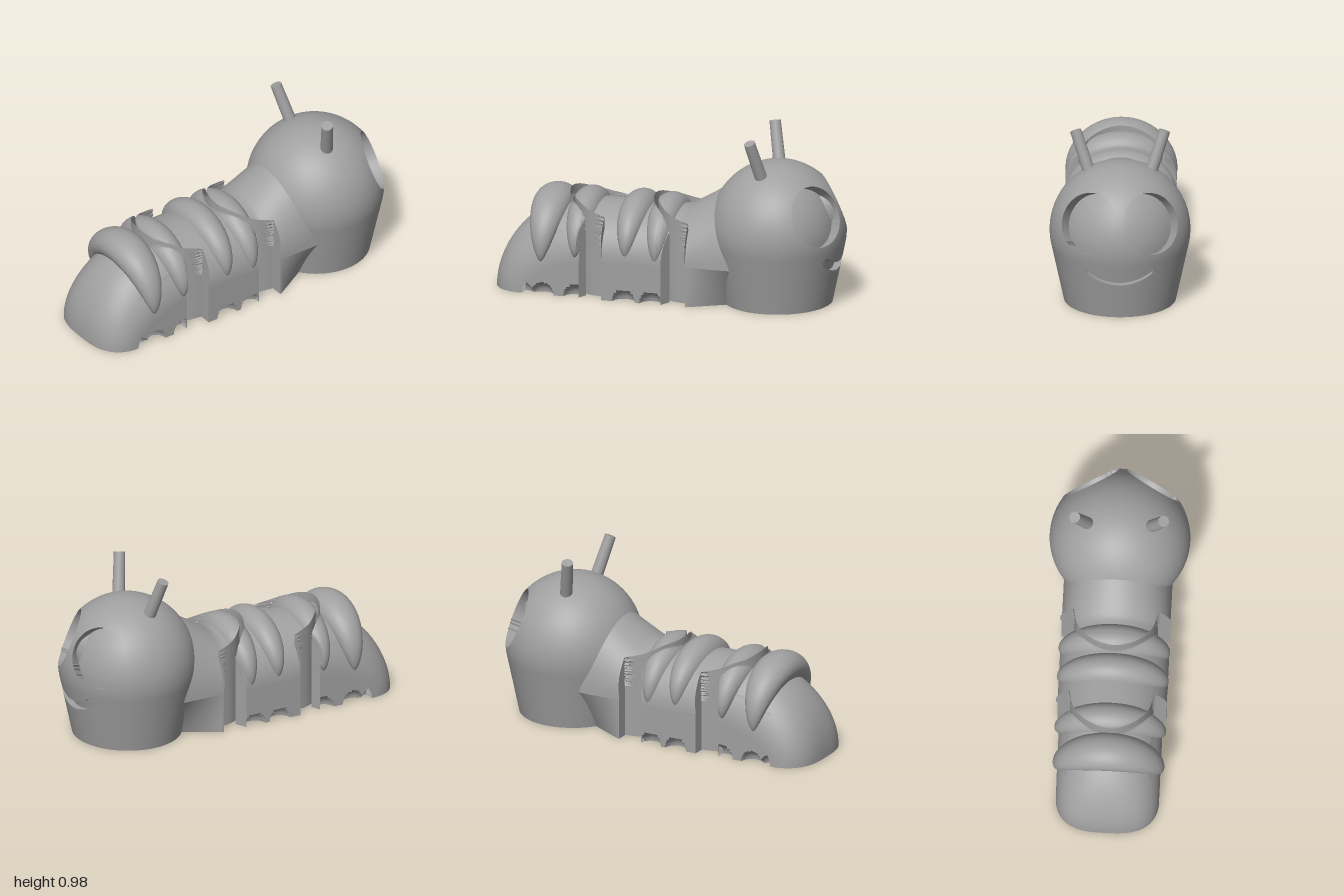
import * as THREE from 'three';
import { toCreasedNormals } from 'three/addons/utils/BufferGeometryUtils.js';

const grey = new THREE.MeshStandardMaterial({ color: 0xa0a0a0, side: THREE.DoubleSide });
grey.name = 'grey';

const KNUCKLE = 0.235, SOCKET = 0.26; // hinge radii
const JOINTS = [-0.33, 0.16];

function add(parent, name, geometry) {
  const mesh = new THREE.Mesh(geometry, grey);
  mesh.name = name;
  parent.add(mesh);
  return mesh;
}

// Surface from a rule f(u index, v index) -> [x, y, z]
function grid(nu, nv, f) {
  const pos = [], index = [];
  for (let i = 0; i <= nu; i++) for (let j = 0; j <= nv; j++) pos.push(...f(i, j));
  for (let i = 0; i < nu; i++) for (let j = 0; j < nv; j++) {
    const a = i * (nv + 1) + j, b = a + nv + 1;
    index.push(a, a + 1, b, b, a + 1, b + 1);
  }
  const g = new THREE.BufferGeometry();
  g.setAttribute('position', new THREE.Float32BufferAttribute(pos, 3));
  g.setIndex(index);
  return toCreasedNormals(g, 0.6);
}

// Hinge outlines in plan: convex knuckle and concave socket
const knuckleX = (c, z, outer) => outer ? c : c - Math.sqrt(Math.max(0, KNUCKLE ** 2 - z * z));
const socketX = (c, z, outer) => outer
  ? c - 0.111 - (Math.abs(z) - KNUCKLE) * 0.46
  : c - Math.sqrt(SOCKET ** 2 - z * z);

// Body segment: columns across z, each running from back(z) to front(z) under top(x, z)
function segment(parent, name, { W, back, front, top, feet = [], narrow = () => 1, joint }) {
  const group = new THREE.Group();
  group.name = name;
  parent.add(group);
  const half = [], a0 = Math.asin(KNUCKLE / W);
  for (let i = 0; i <= 14; i++) half.push([W * Math.sin(a0 * i / 14), false]);
  for (let i = 0; i <= 8; i++) half.push([W * Math.sin(a0 + (Math.PI / 2 - a0) * i / 8), true]);
  const cols = [...half.slice(1).reverse().map(([z, o]) => [-z, o]), ...half]
    .map(([z, o]) => ({ z, b: back(z, o), f: front(z, o) }));
  const n = cols.length - 1, b0 = cols[0].b, f0 = cols[0].f;

  // Side wall with foot dimples along the lower edge
  const sideZ = (x, y) => {
    let z = W * THREE.MathUtils.lerp(narrow(x), 1, Math.min(1, y / top(x, W) || 0));
    for (const fx of feet) z -= Math.sqrt(Math.max(0, 0.065 ** 2 - (x - fx) ** 2 - y * y));
    return z;
  };
  add(group, 'back skin', grid(n, 28, (i, j) => {
    const { z, b, f } = cols[i], x = b + (f - b) * (j / 28) ** 2;
    return [x, top(x, z), z];
  }));
  for (const [label, key] of [['rear end', 'b'], ['front end', 'f']])
    add(group, label, grid(n, 4, (i, j) => {
      const x = cols[i][key], z = cols[i].z;
      return [x, top(x, z) * j / 4, z * (j ? 1 : narrow(x))];
    }));
  for (const s of [-1, 1]) add(group, 'side wall', grid(100, 14, (i, j) => {
    const x = b0 + (f0 - b0) * i / 100, y = top(x, W) * j / 14;
    return [x, y, s * sideZ(x, y)];
  }));

  // Underside, with a round recess below the hinge
  const outline = cols.map(c => new THREE.Vector2(c.b, c.z));
  for (let i = 1; i < 100; i++) {
    const x = b0 + (f0 - b0) * i / 100;
    outline.push(new THREE.Vector2(x, sideZ(x, 0)));
  }
  for (const c of [...cols].reverse()) outline.push(new THREE.Vector2(c.f, c.z * narrow(c.f)));
  for (let i = 99; i > 0; i--) {
    const x = b0 + (f0 - b0) * i / 100;
    outline.push(new THREE.Vector2(x, -sideZ(x, 0)));
  }
  const shape = new THREE.Shape(outline);
  if (joint !== undefined) {
    shape.holes.push(new THREE.Path().absarc(joint, 0, 0.135, 0, Math.PI * 2, true));
    const rings = [[0.135, 0], [0.135, 0.05], [0.1, 0.05], [0.1, 0], [0.07, 0], [0.07, 0.05], [0, 0.05]];
    const pin = new THREE.LatheGeometry(rings.map(p => new THREE.Vector2(...p)), 40);
    add(group, 'hinge pin', toCreasedNormals(pin, 0.6)).position.x = joint;
  }
  add(group, 'underside', new THREE.ShapeGeometry(shape, 20).rotateX(Math.PI / 2));
}

// Arched roll tapering to both ends; clip(x, z) trims it at a hinge
function roll(parent, x0, rx, low, high, clip = x => x) {
  const g = new THREE.SphereGeometry(1, 48, 64), p = g.attributes.position;
  for (let i = 0; i < p.count; i++) {
    const a = Math.acos(THREE.MathUtils.clamp(p.getY(i), -1, 1)), s = Math.sin(a);
    const k = s > 1e-4 ? s ** -0.3 : 0, r = 0.09 * p.getZ(i) * k;
    const z = (0.29 + r) * Math.cos(a);
    p.setXYZ(i, clip(x0 + rx * p.getX(i) * k, z), low + (high - 0.09 - low + r) * s, z);
  }
  g.deleteAttribute('uv');
  add(parent, 'body roll', toCreasedNormals(g, 0.6));
}

// Head: cone flowing into a dome, with carved eye sockets and smile
function headGeometry() {
  const R = 0.395, CY = 0.415, A = -0.21, centre = new THREE.Vector3(0, CY, 0);
  const radius = y => 0.315 + 0.2143 * y;
  const cavities = [-1, 1].map(s => {
    const n = new THREE.Vector3(0.79, 0.38, 0.49 * s).normalize(), r = 0.175;
    const radial = p => p.clone().sub(centre).projectOnPlane(n);
    return {
      d: p => p.x > 0 ? Math.max(radial(p).length() - r, -p.clone().sub(centre).dot(n)) : 1,
      snap(p) {
        for (let i = 0; i < 5; i++) {
          const q = radial(p);
          p.addScaledVector(q, r / q.length() - 1).sub(centre).setLength(R).add(centre);
        }
      },
      push: n.clone().multiplyScalar(-0.08),
    };
  });
  const arc = 0.288, my = 0.521, w = 0.024, end = 0.61;
  const spine = p => {
    const t = THREE.MathUtils.clamp(Math.atan2(p.z, my - p.y), -end, end);
    return [arc * Math.sin(t), my - arc * Math.cos(t)];
  };
  const mouthDist = p => { const [z, y] = spine(p); return Math.hypot(p.z - z, p.y - y); };
  cavities.push({
    d: p => p.x > 0 ? mouthDist(p) - w : 1,
    snap(p) {
      const [z, y] = spine(p), k = w / mouthDist(p);
      p.z = z + (p.z - z) * k;
      p.y = y + (p.y - y) * k;
      p.x = Math.sqrt(radius(p.y) ** 2 - p.z ** 2);
    },
    push: new THREE.Vector3(-0.04, 0, 0),
  });

  const NU = 220, N1 = 38, N2 = 80, verts = [], inside = [];
  for (let j = 0; j <= N1 + N2; j++) for (let i = 0; i <= NU; i++) {
    const a = A + (Math.PI / 2 - A) * (j - N1) / N2;
    const y = j < N1 ? (CY + R * Math.sin(A)) * j / N1 : CY + R * Math.sin(a);
    const r = j < N1 ? radius(y) : R * Math.cos(a), t = Math.PI * (2 * i / NU - 1);
    const p = new THREE.Vector3(r * Math.cos(t), y, -r * Math.sin(t));
    let hit = -1;
    cavities.forEach((c, k) => {
      const d = c.d(p);
      if (Math.abs(d) < 0.006) c.snap(p);
      if (d < 0.006) hit = k;
    });
    verts.push(p);
    inside.push(hit);
  }
  const pos = [], edges = new Map();
  const put = (...ps) => ps.forEach(p => pos.push(p.x, p.y, p.z));
  const tri = (...ids) => {
    const k = inside[ids[0]];
    const carved = k >= 0 && ids.every(i => inside[i] === k);
    put(...ids.map(i => carved ? verts[i].clone().add(cavities[k].push) : verts[i]));
    if (carved) ids.forEach((a, i) => {
      const b = ids[(i + 1) % 3];
      if (!edges.delete(b + '_' + a)) edges.set(a + '_' + b, [a, b, k]);
    });
  };
  for (let j = 0; j < N1 + N2; j++) for (let i = 0; i < NU; i++) {
    const a = j * (NU + 1) + i, b = a + NU + 1;
    tri(a, a + 1, b + 1);
    tri(a, b + 1, b);
  }
  // Cavity walls along the rims
  for (const [a, b, k] of edges.values()) {
    const p = verts[a], q = verts[b], v = cavities[k].push;
    const p2 = p.clone().add(v), q2 = q.clone().add(v);
    put(p, q, q2, p, q2, p2);
  }
  const g = new THREE.BufferGeometry();
  g.setAttribute('position', new THREE.Float32BufferAttribute(pos, 3));
  return toCreasedNormals(g, 0.6);
}

export function createModel() {
  const model = new THREE.Group();
  model.name = 'caterpillar';
  const [j1, j2] = JOINTS;
  const dome = (z, W) => Math.sqrt(Math.max(0, 1 - (z / W) ** 2));

  const tailBack = z => -0.8 - 0.2 * Math.max(0, 1 - Math.abs(z / 0.29) ** 3) ** 0.45;
  segment(model, 'tail segment', {
    W: 0.29, back: tailBack, front: (z, o) => socketX(j1, z, o), feet: [-0.8, -0.68, -0.49],
    top: (x, z) => {
      const s = THREE.MathUtils.clamp((x - tailBack(z)) / 0.5, 0, 1);
      return 0.5 * Math.sqrt(1 - (1 - s) ** 2) * (0.45 + 0.55 * dome(z, 0.29));
    },
  });
  segment(model, 'middle segment', {
    W: 0.305, back: (z, o) => knuckleX(j1, z, o), front: (z, o) => socketX(j2, z, o),
    feet: [-0.2, -0.04], joint: j1,
    top: (x, z) => 0.23 + 0.28 * dome(z, 0.305),
  });
  segment(model, 'neck segment', {
    W: 0.305, back: (z, o) => knuckleX(j2, z, o), front: () => 0.56, joint: j2,
    top: (x, z) => 0.23 + (0.28 + 0.6 * Math.max(0, x - 0.1)) * dome(z, 0.305),
    narrow: x => 1 - 1.9 * Math.max(0, x - 0.17),
  });

  // Rolls; those over a hinge are split by its gap
  roll(model, -0.69, 0.11, 0.19, 0.57);
  roll(model, -0.195, 0.09, 0.25, 0.57);
  for (const [x0, c] of [[-0.49, j1], [-0.02, j2]]) {
    roll(model, x0, 0.09, 0.23, 0.565, (x, z) => Math.min(x, socketX(c, z, Math.abs(z) > KNUCKLE)));
    roll(model, x0, 0.09, 0.23, 0.565, (x, z) => Math.max(x, knuckleX(c, z, Math.abs(z) > KNUCKLE)));
    add(model, 'hinge link', new THREE.BoxGeometry(0.1, 0.3, 0.12)).position.set(c - 0.25, 0.151, 0);
  }

  const head = new THREE.Group();
  head.name = 'head';
  head.position.x = 0.615;
  head.scale.x = 0.975;
  model.add(head);
  add(head, 'face', headGeometry());
  add(head, 'head base', new THREE.CircleGeometry(0.315, 64).rotateX(Math.PI / 2));

  // Antennae
  for (const s of [-1, 1]) {
    const a = new THREE.Vector3(0.58, 0.7, 0.16 * s), b = new THREE.Vector3(0.522, 0.97, 0.25 * s);
    const m = add(model, 'antenna', new THREE.CylinderGeometry(0.032, 0.036, a.distanceTo(b), 24));
    m.position.lerpVectors(a, b, 0.5);
    m.quaternion.setFromUnitVectors(new THREE.Vector3(0, 1, 0), b.sub(a).normalize());
  }
  return model;
}
